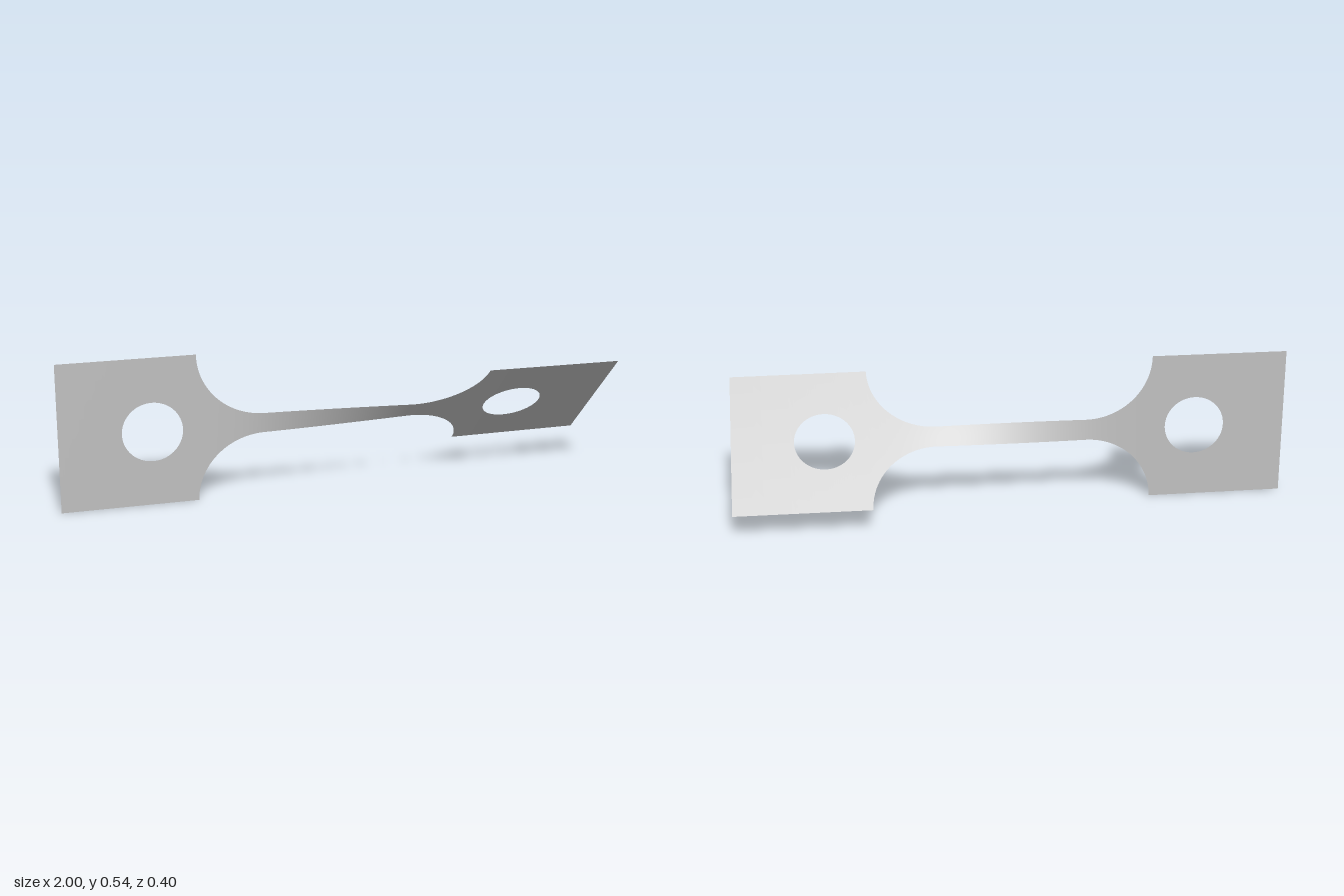
import * as THREE from 'three';
import { mergeVertices } from 'three/addons/utils/BufferGeometryUtils.js';

const CY = 0.271;              // height of the long axis
const GRIP = 0.271;            // half width of the end plates
const NECK = 0.0375;           // half width of the narrow neck
const FILLET_OUT = 0.51, FILLET_IN = 0.27;
const HOLE_X = 0.67, HOLE_R = 0.108;
const START = 0.005, END = 0.818; // roll of the two ends, radians

// Half width of the outline at x
function halfWidth(x) {
  const a = Math.abs(x);
  if (a >= FILLET_OUT) return GRIP;
  if (a <= FILLET_IN) return NECK;
  const u = (a - FILLET_IN) / (FILLET_OUT - FILLET_IN);
  return GRIP - (GRIP - NECK) * Math.sqrt(1 - u * u);
}

// Half height of the hole at x
function holeHalf(x) {
  const d = Math.abs(x) - HOLE_X;
  return Math.sqrt(Math.max(0, HOLE_R * HOLE_R - d * d));
}

// Twist builds up mostly where the sheet is narrow
const STEPS = 800;
const twist = [0];
for (let i = 0; i < STEPS; i++) {
  const x = -1 + (2 * (i + 0.5)) / STEPS;
  twist.push(twist[i] + 1 / halfWidth(x) ** 2);
}
function angle(x) {
  const f = ((x + 1) / 2) * STEPS;
  const i = Math.min(STEPS - 1, Math.floor(f));
  const t = twist[i] + (twist[i + 1] - twist[i]) * (f - i);
  return START + ((END - START) * t) / twist[STEPS];
}

// Columns from a to b, bunched towards both ends
function columns(a, b, n) {
  return Array.from({ length: n + 1 }, (_, i) => a + (b - a) * (0.5 - 0.5 * Math.cos((Math.PI * i) / n)));
}

// Sheet made of an upper and a lower strip that part around the hole
function sheet(name, material, xs) {
  const positions = [], index = [];
  const rows = 4;
  for (const side of [-1, 1]) {
    const base = positions.length / 3;
    xs.forEach((x, i) => {
      const th = angle(x), h = holeHalf(x), w = halfWidth(x);
      for (let j = 0; j <= rows; j++) {
        const f = side > 0 ? j / rows : 1 - j / rows;
        const t = side * (h + (w - h) * f);
        positions.push(x, CY + t * Math.cos(th), t * Math.sin(th));
        if (i && j) {
          const d = base + i * (rows + 1) + j, c = d - 1;
          const b = d - rows - 1, a = b - 1;
          index.push(a, c, d, a, d, b);
        }
      }
    });
  }
  let geometry = new THREE.BufferGeometry();
  geometry.setAttribute('position', new THREE.Float32BufferAttribute(positions, 3));
  geometry.setIndex(index);
  geometry = mergeVertices(geometry, 1e-6);
  geometry.computeVertexNormals();
  const mesh = new THREE.Mesh(geometry, material);
  mesh.name = name;
  return mesh;
}

export function createModel() {
  const group = new THREE.Group();
  group.name = 'twistedSpecimen';
  const metal = new THREE.MeshStandardMaterial({ color: 0xbfbfbf, side: THREE.DoubleSide });
  metal.name = 'grey metal';

  // End plates with a round hole each
  const gripXs = [
    ...columns(FILLET_OUT, HOLE_X - HOLE_R, 2),
    ...columns(HOLE_X - HOLE_R, HOLE_X + HOLE_R, 48).slice(1),
    ...columns(HOLE_X + HOLE_R, 1, 6).slice(1),
  ];
  group.add(sheet('rightEndPlate', metal, gripXs));
  group.add(sheet('leftEndPlate', metal, gripXs.map((x) => -x).reverse()));

  // Twisted neck with its flared shoulders
  group.add(sheet('twistedNeck', metal, [
    ...columns(-FILLET_OUT, -FILLET_IN, 32),
    ...columns(-FILLET_IN, FILLET_IN, 40).slice(1),
    ...columns(FILLET_IN, FILLET_OUT, 32).slice(1),
  ]));
  return group;
}
